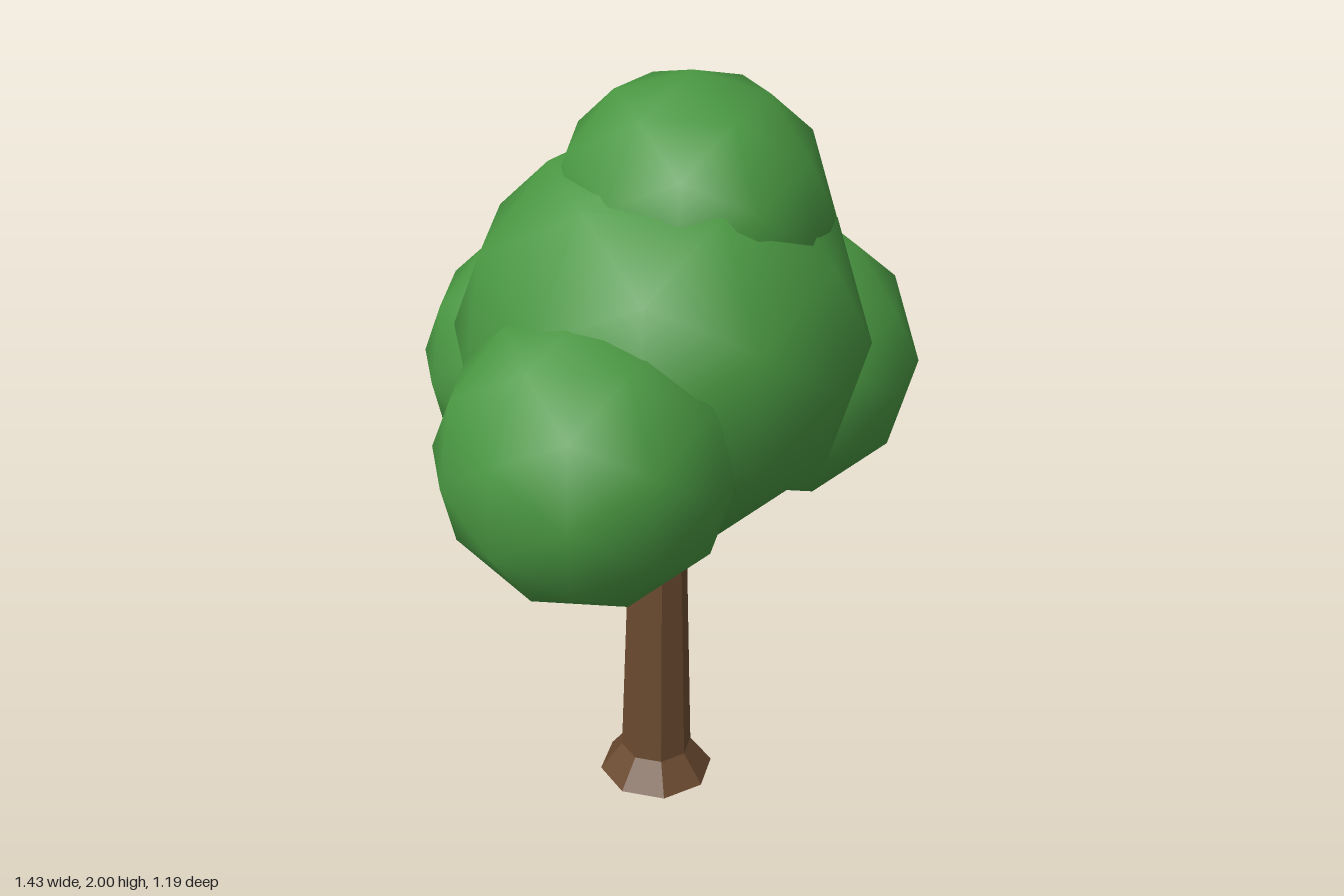
import * as THREE from 'three';

export function createModel() {
  const tree = new THREE.Group();
  tree.name = 'tree';

  const leafGreen = new THREE.MeshStandardMaterial({ color: 0x4a9842 });
  leafGreen.name = 'leafGreen';
  const barkBrown = new THREE.MeshStandardMaterial({ color: 0x6b4a30, flatShading: true });
  barkBrown.name = 'barkBrown';

  // Trunk: eight-sided tapering column with a flared foot
  const profile = [[0, 0], [0.155, 0], [0.096, 0.08], [0.071, 0.92], [0, 0.92]]
    .map(([r, y]) => new THREE.Vector2(r, y));
  const trunk = new THREE.Mesh(new THREE.LatheGeometry(profile, 8), barkBrown);
  trunk.name = 'trunk';
  trunk.position.set(0.01, 0, 0.07);
  tree.add(trunk);

  // Leaf clump: smooth-shaded icosphere with a corner pointing to the front
  const clump = new THREE.IcosahedronGeometry(1, 1);
  clump.rotateX(Math.atan(2 / (1 + Math.sqrt(5))));
  clump.rotateZ(Math.PI / 2);

  const canopy = new THREE.Group();
  canopy.name = 'canopy';
  tree.add(canopy);
  const addClump = (name, radius, x, y, z) => {
    const mesh = new THREE.Mesh(clump, leafGreen);
    mesh.name = name;
    mesh.scale.setScalar(radius);
    mesh.position.set(x, y, z);
    canopy.add(mesh);
  };

  addClump('mainClump', 0.517, 0.012, 1.34, 0.073);
  addClump('topClump', 0.35, 0.083, 1.65, 0.105);
  addClump('leftClump', 0.37, 0.358, 1.18, 0.185);
  addClump('rightClump', 0.37, -0.369, 1.195, 0.145);
  addClump('backClump', 0.355, 0.007, 1.182, -0.247);

  return tree;
}
